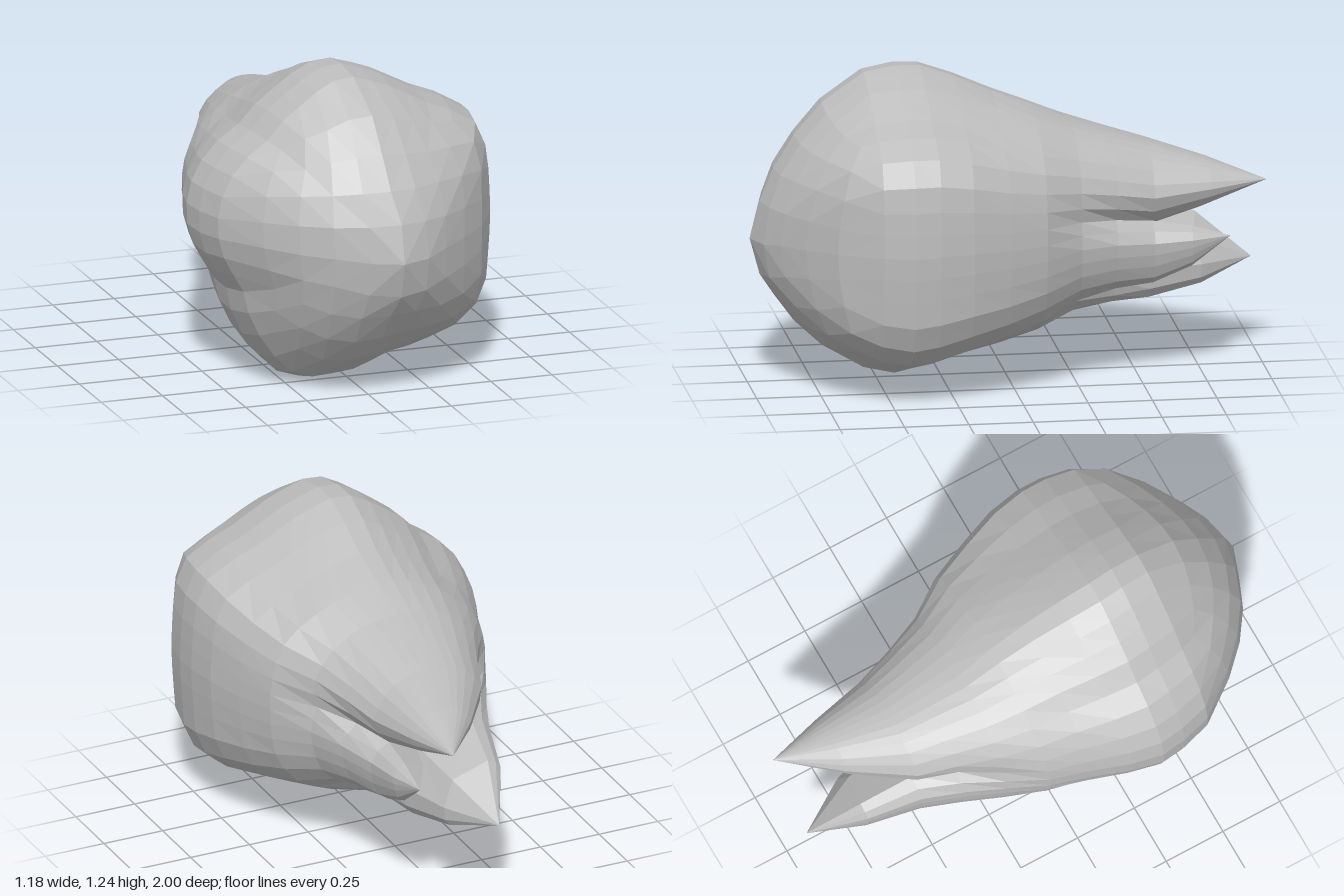
import * as THREE from 'three';

const { lerp, clamp, smoothstep } = THREE.MathUtils;

// Lobed outline of the bulb at its widest, counter-clockwise from +x
const OUTLINE = [
  [.595, .61], [.59, .75], [.58, .88], [.525, 1], [.435, 1.05], [.33, 1.09], [.14, 1.19], [0, 1.235],
  [-.11, 1.225], [-.2, 1.16], [-.3, 1.09], [-.37, 1.01], [-.46, .95], [-.525, .88], [-.57, .8],
  [-.6, .66], [-.56, .52], [-.48, .39], [-.45, .26], [-.37, .13], [-.28, .035], [-.17, 0],
  [.035, .02], [.12, .07], [.22, .085], [.34, .12], [.45, .16], [.525, .22], [.575, .32], [.59, .5],
].map(([x, y]) => [(x + .0025) / .5975, (y - .6175) / .6175]);

// Sections: z, min x, max x, min y, max y
const NOSE = [
  [1, .06, .06, .59, .59], [.97, -.03, .16, .46, .72], [.9, -.2, .27, .35, .87], [.83, -.3, .36, .25, .98],
  [.75, -.39, .45, .16, 1.08], [.65, -.48, .53, .09, 1.17], [.55, -.55, .57, .03, 1.22],
];
const NOSE_RADII = [0, .17, .42, .59, .75, .9, 1];
const BODY = [
  NOSE[6], [.43, -.585, .59, 0, 1.24], [.33, -.6, .59, .02, 1.235], [.2, -.57, .57, .07, 1.19],
  [.05, -.51, .52, .12, 1.125], [-.1, -.46, .46, .18, 1.065], [-.25, -.39, .36, .25, 1],
  [-.4, -.32, .3, .28, .95], [-.55, -.26, .25, .29, .905],
];

// Square grid folded onto a disc; its border gives the directions of every ring
const SIDE = 10, N = SIDE * 4;
const toDisc = (u, v) => [u * Math.sqrt(1 - v * v / 2), v * Math.sqrt(1 - u * u / 2)];
const wave = p => clamp(Math.abs(p % 8 - 4) - 2, -1, 1);
const BORDER = Array.from({ length: N }, (_, j) => toDisc(wave(j * 8 / N), wave(j * 8 / N + 6)));
const NOTCHES = [1, 18, 34];

const cross = (a, b) => a[0] * b[1] - a[1] * b[0];

// Distance to the lobed outline along a unit direction
function lobedRadius(d) {
  for (let i = 0; i < OUTLINE.length; i++) {
    const a = OUTLINE[i], b = OUTLINE[(i + 1) % OUTLINE.length];
    const s = cross(a, d), t = cross(d, b);
    if (s >= 0 && t >= 0 && s + t > 0 && a[0] * d[0] + a[1] * d[1] > 0) return cross(a, b) / (s + t);
  }
  return 1;
}

function surfacePoint([z, x0, x1, y0, y1], d) {
  // Lobes fade towards the nose and towards the crown, where three grooves appear
  const lobed = z > .3 ? 1 - .8 * smoothstep(z, .6, 1) : smoothstep(z, -.4, .3);
  const plain = (Math.abs(d[0]) ** 2.4 + Math.abs(d[1]) ** 2.4) ** (-1 / 2.4);
  const groove = .32 * (1 - smoothstep(z, -.6, -.1));
  let r = lerp(plain, lobedRadius(d), lobed);
  for (const n of NOTCHES) {
    const gap = Math.hypot(d[0] - BORDER[n][0], d[1] - BORDER[n][1]);
    r *= 1 - groove * Math.exp(-((gap / .15) ** 2));
  }
  return new THREE.Vector3((x0 + x1 + d[0] * r * (x1 - x0)) / 2, (y0 + y1 + d[1] * r * (y1 - y0)) / 2, z);
}

// Point on the rounded nose for a position inside the unit disc
function nosePoint([p, q]) {
  const radius = Math.min(Math.hypot(p, q), 1);
  const i = Math.max(1, NOSE_RADII.findIndex(r => r >= radius - 1e-6));
  const t = (radius - NOSE_RADII[i - 1]) / (NOSE_RADII[i] - NOSE_RADII[i - 1]);
  const section = NOSE[i].map((value, k) => lerp(NOSE[i - 1][k], value, t));
  return surfacePoint(section, radius > 0 ? [p / radius, q / radius] : [1, 0]);
}

function fromTriangles(points) {
  return new THREE.BufferGeometry().setFromPoints(points);
}

function noseGeometry() {
  const at = (i, j) => nosePoint(toDisc(i * 2 / SIDE - 1, j * 2 / SIDE - 1));
  const points = [];
  for (let i = 0; i < SIDE; i++) {
    for (let j = 0; j < SIDE; j++) {
      const a = at(i, j), b = at(i + 1, j), c = at(i + 1, j + 1), d = at(i, j + 1);
      // Split so that no corner triangle collapses onto the rim
      if ((i < SIDE / 2) === (j < SIDE / 2)) points.push(a, b, c, a, c, d);
      else points.push(a, b, d, b, c, d);
    }
  }
  return fromTriangles(points);
}

// Skins closed rings of equal length; the last may be a single point
function loft(rings) {
  const points = [];
  for (let i = 0; i + 1 < rings.length; i++) {
    const a = rings[i], b = rings[i + 1];
    for (let j = 0; j < a.length; j++) {
      const k = (j + 1) % a.length;
      if (b.length === 1) points.push(a[j], b[0], a[k]);
      else points.push(a[j], b[j], a[k], a[k], b[j], b[k]);
    }
  }
  return fromTriangles(points);
}

export function createModel() {
  const group = new THREE.Group();
  group.name = 'bud';
  const grey = new THREE.MeshStandardMaterial({ color: 0xbbbbbb, flatShading: true });
  grey.name = 'grey';
  const add = (name, geometry) => {
    geometry.computeVertexNormals();
    const mesh = new THREE.Mesh(geometry, grey);
    mesh.name = name;
    group.add(mesh);
  };

  // Rounded nose and tapering body
  const rings = BODY.map(section => BORDER.map(d => surfacePoint(section, d)));
  add('nose', noseGeometry());
  add('body', loft(rings));

  // Three pointed crown petals, each closed on its inner side
  const rim = rings[rings.length - 1];
  const centre = new THREE.Vector3(.03, .56, -.5);
  const petals = [
    ['topPetal', 1, 18, new THREE.Vector3(.11, .76, -1), .45],
    ['lowerPetal', 18, 34, new THREE.Vector3(-.1, .4, -.97), .33],
    ['sidePetal', 34, 41, new THREE.Vector3(.18, .56, -.85), .35],
  ];
  for (const [name, from, to, tip, taper] of petals) {
    const base = [];
    for (let j = from; j <= to; j++) base.push(rim[j % N]);
    base.push(centre);
    const middle = base.map(p => new THREE.Vector3(
      lerp(p.x, tip.x, taper), lerp(p.y, tip.y, taper), lerp(p.z, tip.z, .5)));
    add(name, loft([base, middle, [tip]]));
  }
  return group;
}
